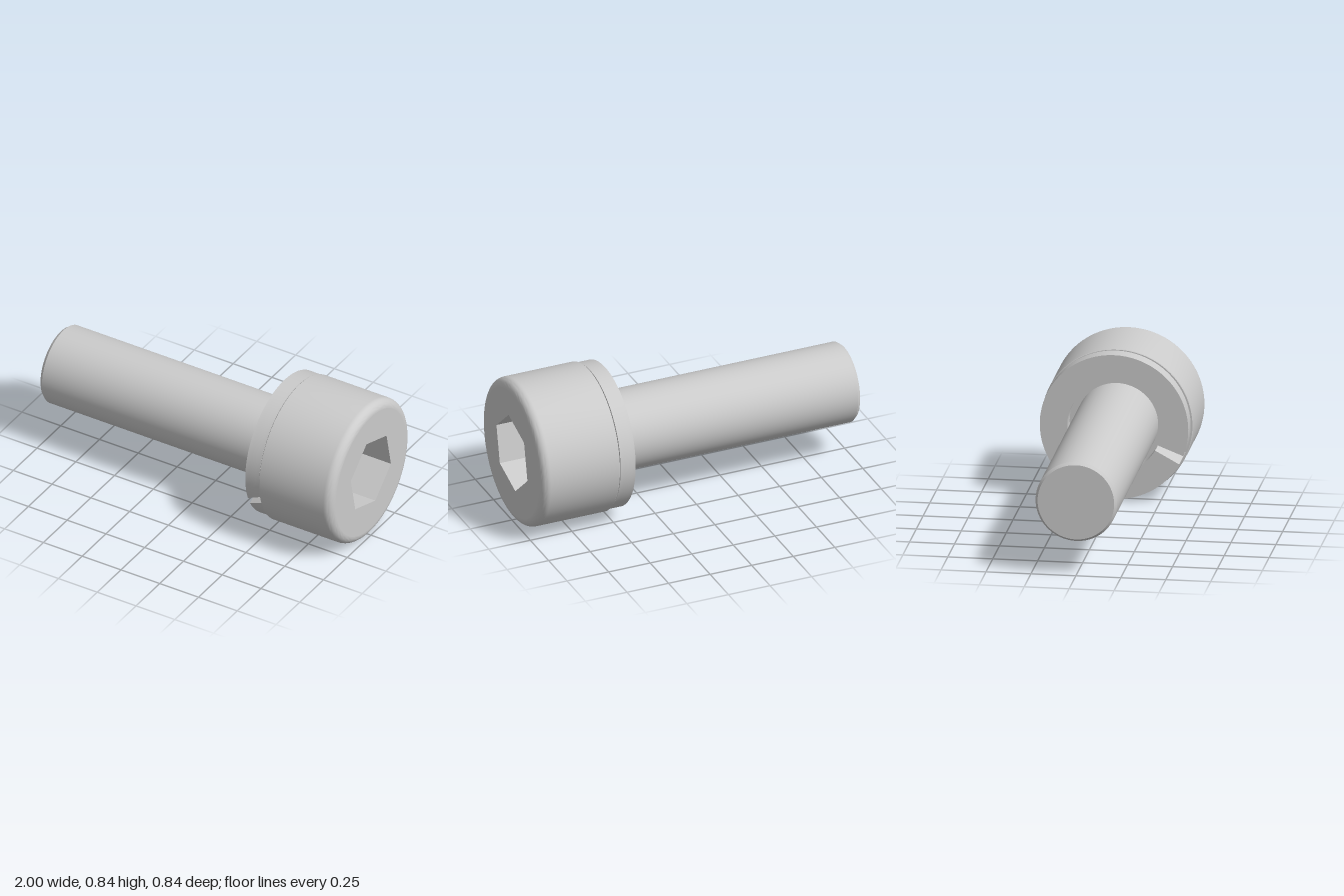
import * as THREE from 'three';
import { toCreasedNormals } from 'three/addons/utils/BufferGeometryUtils.js';

const SEG = 96, CREASE = 0.5;
const rad = THREE.MathUtils.degToRad;
const R = 0.422;          // head radius
const HEX = 0.222;        // socket corner radius
const HEX_TURN = rad(42);
const FLOOR_X = 0.78;     // bottom of the hex walls

export function createModel() {
  const model = new THREE.Group();
  model.name = 'socketHeadScrew';
  const material = new THREE.MeshStandardMaterial({ color: 0xcccccc });
  const inside = new THREE.MeshStandardMaterial({ color: 0xcccccc, side: THREE.DoubleSide, flatShading: true });

  const add = (name, geometry, mat = material) => {
    const mesh = new THREE.Mesh(geometry, mat);
    mesh.name = name;
    model.add(mesh);
    return mesh;
  };
  // Turned part about the x axis; profile is [radius, x]
  const turned = (profile) => {
    const g = new THREE.LatheGeometry(profile.map(([r, x]) => new THREE.Vector2(r, x)), SEG);
    return toCreasedNormals(g.rotateZ(-Math.PI / 2), CREASE);
  };
  // Flat plate facing +x
  const plate = (outline, hole, x) => {
    outline.holes.push(hole);
    return new THREE.ShapeGeometry(outline, SEG / 2).rotateY(Math.PI / 2).translate(x, 0, 0);
  };
  const hexPoints = [...Array(6).keys()].map((i) => {
    const a = HEX_TURN + (i * Math.PI) / 3;
    return new THREE.Vector2(HEX * Math.cos(a), HEX * Math.sin(a));
  });
  const circle = (Type, r) => new Type().absarc(0, 0, r, 0, Math.PI * 2, false);

  // Shank with a small chamfer at the tip
  add('shank', turned([[0, -1], [0.213, -1], [0.227, -0.982], [0.227, 0.535]]));

  // Head with a rounded front edge
  const fillet = 0.05;
  const headProfile = [[0.227, 0.535], [R - 0.004, 0.535], [R, 0.539]];
  for (let i = 0; i <= 10; i++) {
    const a = (i / 10) * Math.PI / 2;
    headProfile.push([R - fillet + fillet * Math.cos(a), 1 - fillet + fillet * Math.sin(a)]);
  }
  add('head', turned(headProfile));
  add('headFace', plate(circle(THREE.Shape, R - fillet), new THREE.Path(hexPoints), 1));

  // Hexagonal socket: walls, flat corners of the floor, hollow bottom
  const depth = 1 - FLOOR_X;
  const walls = new THREE.CylinderGeometry(HEX, HEX, depth, 6, 1, true, HEX_TURN);
  add('socketWalls', walls.rotateZ(-Math.PI / 2).translate(1 - depth / 2, 0, 0), inside);
  const bowlR = 0.191, bowlDepth = 0.11;
  add('socketFloor', plate(new THREE.Shape(hexPoints), circle(THREE.Path, bowlR), FLOOR_X));
  const bowl = [];
  for (let i = 0; i <= 10; i++) {
    const a = (i / 10) * Math.PI / 2;
    bowl.push([bowlR * Math.cos(a), FLOOR_X - bowlDepth * Math.sin(a)]);
  }
  add('socketBottom', turned(bowl));

  // Split spring washer: open ring whose slanted gap comes from twisting it
  const thick = 0.09, gap = rad(3.7), start = rad(205), twist = rad(-7);
  const ring = new THREE.Shape();
  ring.absarc(0, 0, 0.413, start + gap, start + Math.PI * 2 - gap, false);
  ring.absarc(0, 0, 0.26, start + Math.PI * 2 - gap, start + gap, true);
  const washer = new THREE.ExtrudeGeometry(ring, { depth: thick, steps: 4, bevelEnabled: false, curveSegments: SEG / 2 });
  const p = washer.attributes.position, v = new THREE.Vector3(), zAxis = new THREE.Vector3(0, 0, 1);
  for (let i = 0; i < p.count; i++) {
    v.fromBufferAttribute(p, i);
    v.applyAxisAngle(zAxis, (twist * v.z) / thick);
    p.setXYZ(i, v.x, v.y, v.z);
  }
  washer.rotateY(Math.PI / 2);
  add('splitWasher', toCreasedNormals(washer, CREASE)).position.set(0.44, 0.002, -0.004);

  model.position.y = R;
  return model;
}
